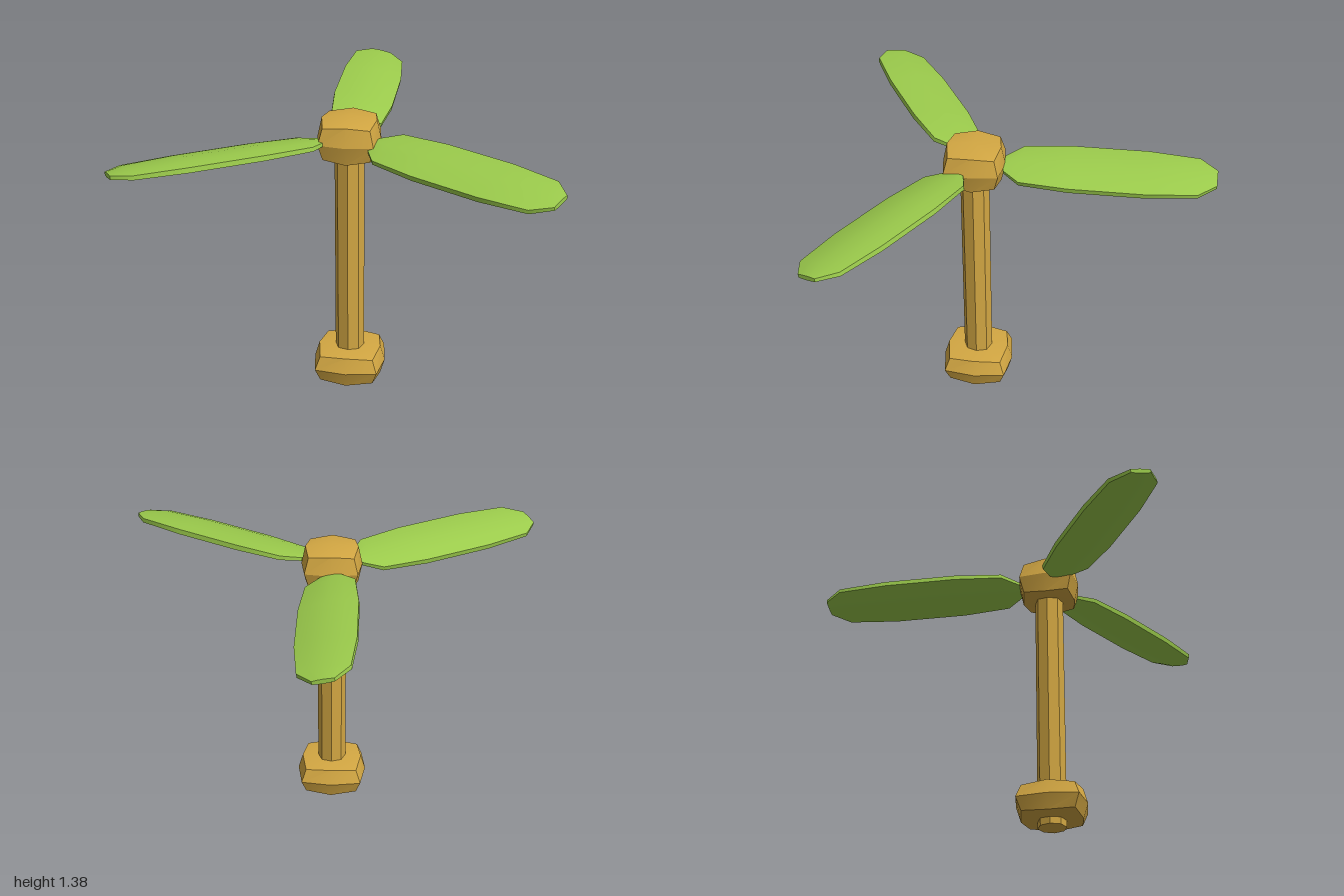
import * as THREE from 'three';
import { toCreasedNormals } from 'three/addons/utils/BufferGeometryUtils.js';

const AXIS_Z = 0.25;

// Cube softened to a bulging block: corners and edge midpoints are drawn inwards
function softBlock(rx, ry, rz) {
  const geo = new THREE.BoxGeometry(2, 2, 2, 2, 2, 2);
  const p = geo.attributes.position;
  for (let i = 0; i < p.count; i++) {
    const v = [p.getX(i), p.getY(i), p.getZ(i)];
    const zeros = v.filter((c) => Math.abs(c) < 0.01).length;
    const s = [0.74, 0.87, 1][zeros];
    p.setXYZ(i, v[0] * s * rx, v[1] * s * ry, v[2] * s * rz);
  }
  return toCreasedNormals(geo, 0.4);
}

// Lens-shaped blade lofted outwards along -z
function bladeGeometry() {
  // distance from axis, half width, half thickness at the middle, half thickness at the rim
  const stations = [
    [0.14, 0.05, 0.014, 0.008],
    [0.22, 0.12, 0.024, 0.010],
    [0.45, 0.142, 0.031, 0.012],
    [0.80, 0.142, 0.031, 0.012],
    [1.04, 0.12, 0.024, 0.010],
    [1.125, 0.05, 0.011, 0.008],
  ];
  const pos = [], idx = [], n = 10;
  for (const [r, w, t, rim] of stations) {
    const mid = rim + (t - rim) * 0.72;
    const upper = [[w, rim], [w * 0.55, mid], [0, t], [-w * 0.55, mid], [-w, rim]];
    const lower = upper.map(([x, y]) => [-x, -y]);
    for (const [x, y] of [...upper, ...lower]) pos.push(x, y, -r);
  }
  for (let i = 0; i < stations.length - 1; i++) {
    for (let j = 0; j < n; j++) {
      const a = i * n + j, b = i * n + (j + 1) % n, c = b + n, d = a + n;
      idx.push(a, d, c, a, c, b);
    }
  }
  const end = (stations.length - 1) * n;
  for (let j = 1; j < n - 1; j++) {
    idx.push(0, j, j + 1, end, end + j + 1, end + j);
  }
  const geo = new THREE.BufferGeometry();
  geo.setAttribute('position', new THREE.Float32BufferAttribute(pos, 3));
  geo.setIndex(idx);
  return toCreasedNormals(geo, 0.7);
}

export function createModel() {
  const gold = new THREE.MeshStandardMaterial({ color: 0xd4a843 });
  gold.name = 'gold';
  const green = new THREE.MeshStandardMaterial({ color: 0x9ccc4c });
  green.name = 'leafGreen';

  const model = new THREE.Group();
  model.name = 'propeller';
  const add = (name, geo, mat, y) => {
    const mesh = new THREE.Mesh(geo, mat);
    mesh.name = name;
    mesh.position.set(0, y, AXIS_Z);
    model.add(mesh);
    return mesh;
  };

  // Octagonal shaft with a knob near the foot and a hub on top
  const shaft = new THREE.CylinderGeometry(0.069, 0.069, 1.2, 8);
  add('shaft', toCreasedNormals(shaft, 0.4), gold, 0.6);
  add('footKnob', softBlock(0.17, 0.085, 0.17), gold, 0.112);
  add('hub', softBlock(0.146, 0.103, 0.146), gold, 1.272);

  // Three pitched blades around the hub
  const blade = bladeGeometry();
  for (let k = 0; k < 3; k++) {
    const mesh = add('blade' + (k + 1), blade, green, 1.267);
    mesh.rotation.order = 'YXZ';
    mesh.rotation.y = (k * Math.PI * 2) / 3;
    mesh.rotation.z = -0.2;
  }
  return model;
}
